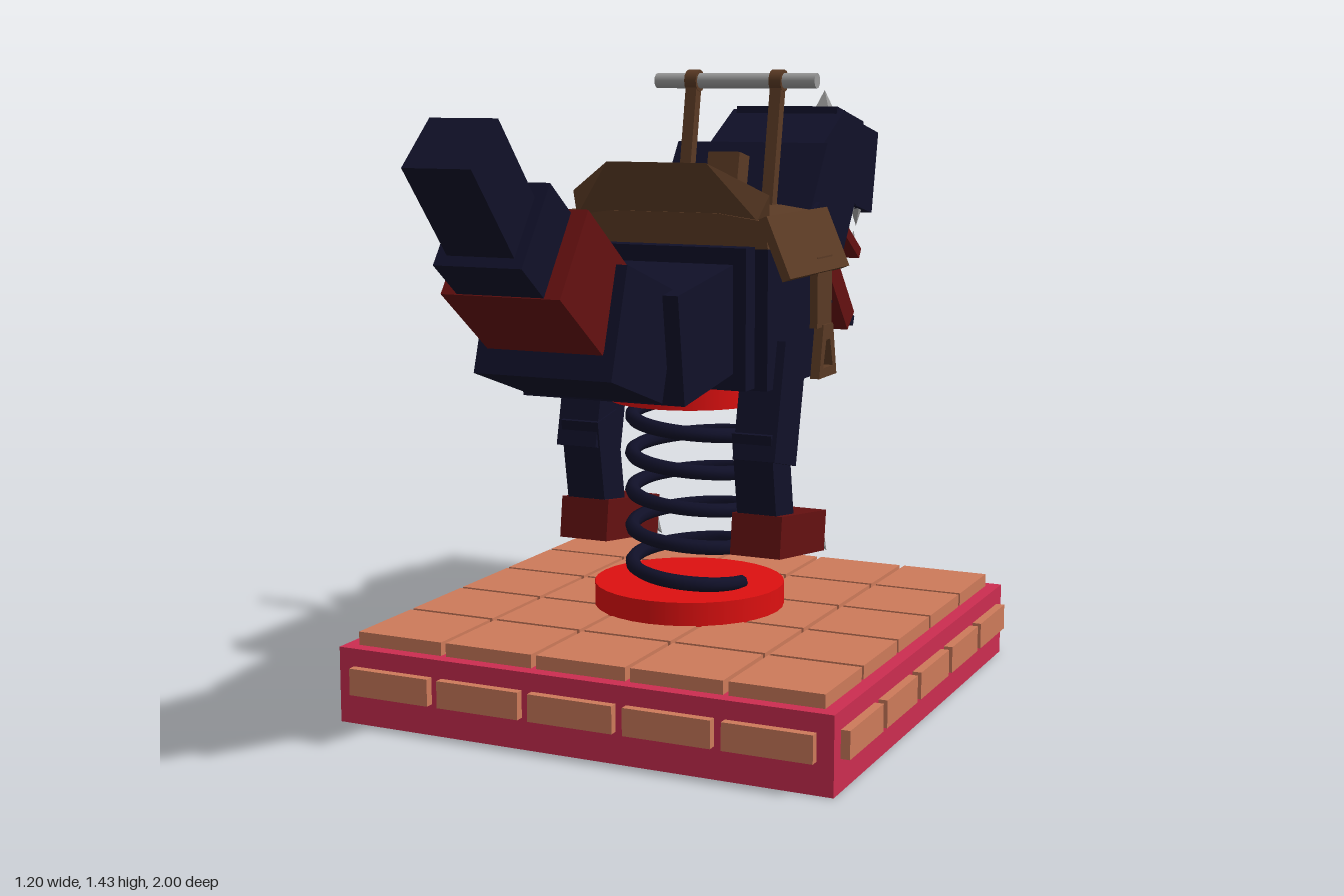
import * as THREE from 'three';
import { ConvexGeometry } from 'three/addons/geometries/ConvexGeometry.js';

const mat = (name, color) => {
  const m = new THREE.MeshStandardMaterial({ color });
  m.name = name;
  return m;
};

export function createModel() {
  const navy = mat('navy hide', 0x101028);
  const maroon = mat('maroon', 0x641010);
  const red = mat('bright red', 0xdd1010);
  const crimson = mat('crimson base', 0xcc2d50);
  const clay = mat('clay tile', 0xcd7a5a);
  const brown = mat('brown leather', 0x5a3a24);
  const grey = mat('grey', 0x999999);
  const model = new THREE.Group();
  model.name = 'springRider';

  const add = (name, geo, material, x = 0, y = 0, z = 0) => {
    const m = new THREE.Mesh(geo, material);
    m.name = name;
    m.position.set(x, y, z);
    model.add(m);
    return m;
  };
  const box = (name, material, w, h, d, x, y, z) =>
    add(name, new THREE.BoxGeometry(w, h, d), material, x, y, z);
  // Box running between two [z, y] points, with height h and width w
  const beam = (name, material, a, b, h, w, x = 0) => {
    const dz = b[0] - a[0], dy = b[1] - a[1];
    const m = box(name, material, w, h, Math.hypot(dz, dy), x, (a[1] + b[1]) / 2, (a[0] + b[0]) / 2);
    m.rotation.x = -Math.atan2(dy, dz);
    return m;
  };
  // Flat-sided cone with its base at p, pointing along dir
  const spike = (name, r, h, p, dir) => {
    const geo = new THREE.ConeGeometry(r, h, 4).rotateY(Math.PI / 4).translate(0, h / 2, 0).toNonIndexed();
    geo.computeVertexNormals();
    const m = add(name, geo, grey, ...p);
    m.quaternion.setFromUnitVectors(new THREE.Vector3(0, 1, 0), new THREE.Vector3(...dir).normalize());
  };

  // Base with tiles on top and around the sides
  const cz = -0.08, pitch = 0.222;
  box('base', crimson, 1.16, 0.17, 1.16, 0, 0.085, cz);
  for (let i = -2; i <= 2; i++) {
    for (let j = -2; j <= 2; j++)
      box('topTile', clay, 0.21, 0.04, 0.21, i * pitch, 0.18, cz + j * pitch);
    for (const s of [-1, 1]) {
      box('sideTile', clay, 0.198, 0.06, 0.04, i * pitch, 0.1, cz + s * 0.58);
      box('sideTile', clay, 0.04, 0.06, 0.198, s * 0.58, 0.1, cz + i * pitch);
    }
  }

  // Spring between two discs
  add('lowerDisc', new THREE.CylinderGeometry(0.22, 0.22, 0.055, 32), red, 0, 0.2255, cz);
  add('upperDisc', new THREE.CylinderGeometry(0.185, 0.185, 0.07, 32), red, 0, 0.715, cz);
  const coil = [];
  for (let i = 0; i <= 100; i++) {
    const a = (i / 100) * Math.PI * 10;
    coil.push(new THREE.Vector3(0.132 * Math.cos(a), 0.26 + 0.43 * i / 100, cz + 0.132 * Math.sin(a)));
  }
  add('spring', new THREE.TubeGeometry(new THREE.CatmullRomCurve3(coil), 240, 0.017, 8), navy);

  // Tail, body and neck
  beam('tailTip', navy, [0.956, 1.291], [0.79, 1.105], 0.132, 0.145);
  beam('tailSegment', navy, [0.811, 1.136], [0.64, 1.01], 0.19, 0.19);
  beam('tailBand', maroon, [0.726, 1.077], [0.552, 0.951], 0.2, 0.26);
  beam('tailMiddle', navy, [0.587, 0.932], [0.356, 0.857], 0.235, 0.31);
  beam('tailRoot', navy, [0.375, 0.852], [0.07, 0.896], 0.235, 0.38);
  box('body', navy, 0.44, 0.31, 0.4, 0, 0.89, -0.09);
  beam('chest', navy, [-0.2, 0.9], [-0.42, 1.0], 0.26, 0.41);
  beam('lowerNeck', navy, [-0.37, 0.94], [-0.538, 1.184], 0.245, 0.39);
  beam('upperNeck', navy, [-0.5, 1.12], [-0.72, 1.24], 0.2, 0.3);

  // Head and jaw
  beam('skull', navy, [-0.637, 1.232], [-0.83, 1.191], 0.214, 0.27);
  beam('snout', navy, [-0.82, 1.193], [-0.978, 1.16], 0.212, 0.245);
  beam('jaw', maroon, [-0.63, 1.115], [-0.88, 0.955], 0.028, 0.24);
  spike('horn', 0.055, 0.1, [0, 1.275, -0.92], [0, 1, -0.04]);
  for (const s of [-1, 1]) {
    beam('eye', grey, [-0.692, 1.229], [-0.732, 1.221], 0.07, 0.008, s * 0.136);
    for (let i = 0; i < 3; i++) {
      spike('lowerTooth', 0.018, 0.05, [s * 0.1, 1.026 - i * 0.029, -0.782 - i * 0.04], [0, 1, -0.5]);
      spike('upperTooth', 0.016, 0.045, [s * 0.1, 1.09 - i * 0.01, -0.8 - i * 0.05], [0, -1, 0]);
    }
  }
  for (let i = -1; i <= 1; i++)
    spike('frontTooth', 0.018, 0.05, [i * 0.05, 0.97, -0.862], [0, 1, -0.5]);

  // Arms, legs and feet
  for (const s of [-1, 1]) {
    beam('upperArm', maroon, [-0.372, 1.018], [-0.544, 0.82], 0.06, 0.06, s * 0.19);
    beam('forearm', navy, [-0.51, 0.85], [-0.605, 0.812], 0.025, 0.04, s * 0.185);
    box('hip', navy, 0.1, 0.31, 0.28, s * 0.2, 0.885, -0.08);
    beam('thigh', navy, [-0.06, 0.82], [0.0, 0.56], 0.13, 0.1, s * 0.22);
    beam('shin', navy, [0.01, 0.64], [-0.03, 0.41], 0.1, 0.094, s * 0.213);
    beam('foot', maroon, [0.035, 0.4], [-0.238, 0.364], 0.095, 0.12, s * 0.215);
    for (let i = 0; i < 4; i++)
      spike('claw', 0.02, 0.085, [s * (0.173 + i * 0.028), 0.355, -0.23], [0, -0.6, -0.75]);
  }

  // Saddle seat with raised back
  add('seat', new ConvexGeometry([-1, 1].flatMap(s => [
    [0.25, 1.04, 0.06], [0.25, 1.04, -0.297], [0.24, 1.1, 0.06], [0.24, 1.1, -0.297],
    [0.13, 1.115, 0.06], [0.13, 1.115, -0.297],
  ].map(([x, y, z]) => new THREE.Vector3(s * x, y, z)))), brown);
  add('saddleBack', new ConvexGeometry([-1, 1].flatMap(s => [
    [0.12, 1.225, 0.098], [0.24, 1.155, 0.03], [0.22, 1.1, 0.05], [0.22, 1.1, -0.02], [0.13, 1.11, -0.09],
  ].map(([x, y, z]) => new THREE.Vector3(s * x, y, z)))), brown);
  beam('pommel', brown, [-0.27, 1.09], [-0.3, 1.23], 0.06, 0.08);

  // Stirrup frame outline in the side plane
  const frame = new THREE.Shape([[-0.03, 0.12], [0.03, 0.12], [0.055, 0], [-0.055, 0]].map(p => new THREE.Vector2(...p)));
  frame.holes.push(new THREE.Path([[-0.012, 0.085], [-0.03, 0.022], [0.03, 0.022], [0.012, 0.085]].map(p => new THREE.Vector2(...p))));
  for (const s of [-1, 1]) {
    const flap = box('saddleFlap', brown, 0.02, 0.145, 0.364, s * 0.268, 1.042, -0.115);
    flap.rotation.z = s * 0.4;
    box('stirrupStrap', brown, 0.018, 0.16, 0.09, s * 0.285, 0.93, -0.17);
    const geo = new THREE.ExtrudeGeometry(frame, { depth: 0.022, bevelEnabled: false }).rotateY(Math.PI / 2);
    add('stirrup', geo, brown, s * 0.287 - 0.011, 0.735, -0.185);
    // Handle post and its ring
    beam('handlePost', brown, [-0.28, 1.08], [-0.338, 1.4], 0.028, 0.028, s * 0.108);
    add('handleRing', new THREE.CylinderGeometry(0.026, 0.026, 0.03, 12).rotateZ(Math.PI / 2), brown, s * 0.108, 1.4, -0.34);
  }
  add('handlebar', new THREE.CylinderGeometry(0.018, 0.018, 0.41, 12).rotateZ(Math.PI / 2), grey, 0, 1.4, -0.34);

  return model;
}
